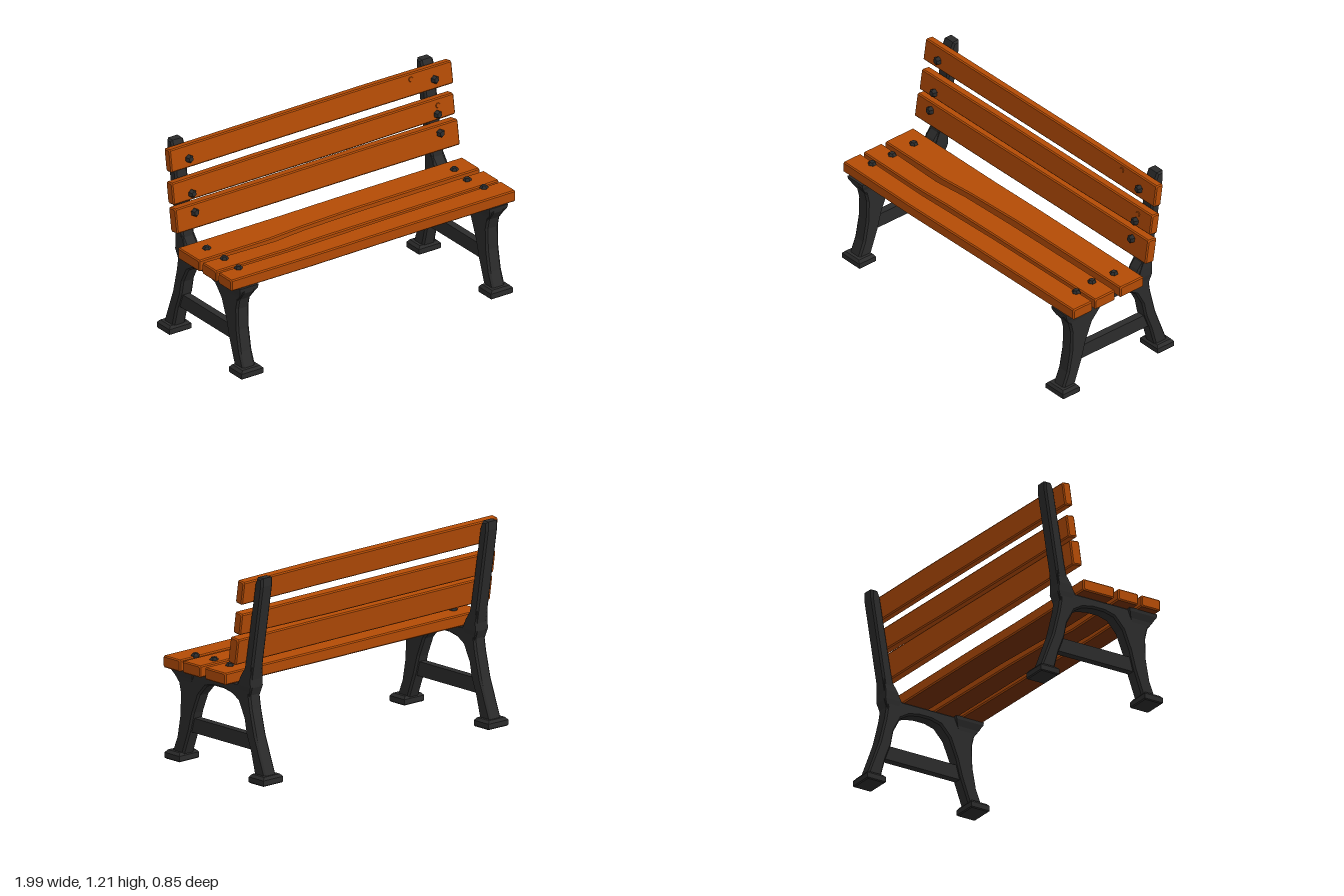
import * as THREE from 'three';

function material(name, color) {
  const m = new THREE.MeshStandardMaterial({ color, flatShading: true });
  m.name = name;
  return m;
}
const wood = material('wood', 0xb34b05);
const darkWood = material('darkWood', 0x722f04);
const iron = material('iron', 0x2b2b2b);

function add(parent, name, geometry, mat, x = 0, y = 0, z = 0) {
  const mesh = new THREE.Mesh(geometry, mat);
  mesh.name = name;
  mesh.position.set(x, y, z);
  parent.add(mesh);
  return mesh;
}

// Skin a row of equal-sized point rings and close both ends
function loft(rings) {
  const pos = [];
  const tri = (...pts) => pts.forEach((p) => pos.push(...p));
  const n = rings[0].length;
  for (let i = 0; i < rings.length - 1; i++) {
    for (let j = 0; j < n; j++) {
      const k = (j + 1) % n;
      const a = rings[i][j], b = rings[i][k], c = rings[i + 1][k], d = rings[i + 1][j];
      tri(a, b, c);
      tri(a, c, d);
    }
  }
  const first = rings[0], last = rings[rings.length - 1];
  for (let j = 1; j < n - 1; j++) {
    tri(first[0], first[j + 1], first[j]);
    tri(last[0], last[j], last[j + 1]);
  }
  const g = new THREE.BufferGeometry();
  g.setAttribute('position', new THREE.Float32BufferAttribute(pos, 3));
  g.computeVertexNormals();
  return g;
}

// Chamfered board along x; stations are [x, edge z low, edge z high], thickness is in y
function plank(stations, thick) {
  const ring = (x, lo, hi, inset) => {
    const b = 0.007, h = thick / 2 - inset;
    lo += inset;
    hi -= inset;
    return [
      [x, -h + b, hi], [x, -h, hi - b], [x, -h, lo + b], [x, -h + b, lo],
      [x, h - b, lo], [x, h, lo + b], [x, h, hi - b], [x, h - b, hi],
    ];
  };
  const rings = stations.map(([x, lo, hi]) => ring(x, lo, hi, 0));
  const [x0, l0, h0] = stations[0];
  const [x1, l1, h1] = stations[stations.length - 1];
  rings.unshift(ring(x0 - 0.007, l0, h0, 0.007));
  rings.push(ring(x1 + 0.007, l1, h1, 0.007));
  return loft(rings);
}

// Give downward faces the second material
function splitUnderside(g) {
  const normal = g.attributes.normal;
  for (let v = 0; v < normal.count; v += 3) g.addGroup(v, 3, normal.getY(v) < -0.9 ? 1 : 0);
  return g;
}

// Stack of rectangles along y; levels are [y, width x, z back, z front]
function block(levels) {
  return loft(levels.map(([y, w, z0, z1]) => [
    [-w / 2, y, z0], [-w / 2, y, z1], [w / 2, y, z1], [w / 2, y, z0],
  ]));
}

// Cast side frame outline as [z, y]: front leg, seat rail, back post, back leg, arch
const OUTLINE = [
  [0.392, 0.03], [0.35, 0.14], [0.326, 0.27], [0.322, 0.4], [0.337, 0.465], [0.378, 0.52], [0.383, 0.556],
  [-0.155, 0.556], [-0.18, 0.605], [-0.21, 0.64], [-0.228, 0.72], [-0.306, 1.175], [-0.322, 1.21], [-0.366, 1.21],
  [-0.366, 1.16], [-0.272, 0.59], [-0.274, 0.545], [-0.26, 0.5], [-0.273, 0.42], [-0.31, 0.27], [-0.398, 0.03],
  [-0.305, 0.03], [-0.268, 0.17], [-0.23, 0.27], [-0.212, 0.36], [-0.165, 0.45], [-0.11, 0.483], [-0.04, 0.497],
  [0.04, 0.497], [0.105, 0.48], [0.165, 0.415], [0.212, 0.3], [0.242, 0.19], [0.3, 0.03],
];

function sideFrame() {
  const frame = new THREE.Group();
  const shape = new THREE.Shape(OUTLINE.map(([z, y]) => new THREE.Vector2(z, y)));
  const g = new THREE.ExtrudeGeometry(shape, {
    depth: 0.064, bevelEnabled: true, bevelThickness: 0.012, bevelSize: 0.01, bevelOffset: -0.01, bevelSegments: 1,
  });
  g.translate(0, 0, -0.032).rotateY(-Math.PI / 2);
  add(frame, 'legsAndPost', g, iron);

  // Flared head of the front leg and slight swelling behind the seat
  add(frame, 'frontLegHead', block([
    [0.45, 0.08, 0.24, 0.322], [0.5, 0.095, 0.215, 0.358], [0.535, 0.126, 0.2, 0.38], [0.556, 0.13, 0.195, 0.383],
  ]), iron);
  add(frame, 'postKnuckle', block([
    [0.49, 0.08, -0.255, -0.19], [0.55, 0.096, -0.274, -0.17], [0.6, 0.096, -0.272, -0.19], [0.67, 0.08, -0.28, -0.23],
  ]), iron);
  add(frame, 'crossBar', new THREE.BoxGeometry(0.045, 0.086, 0.53), iron, 0, 0.222, -0.008);

  // Feet
  for (const s of [1, -1]) {
    add(frame, s > 0 ? 'frontFoot' : 'backFoot', block([
      [0, 0.142, -0.056, 0.056], [0.006, 0.152, -0.062, 0.062], [0.036, 0.152, -0.062, 0.062], [0.052, 0.122, -0.05, 0.05],
    ]), iron, 0, 0, s * 0.353);
  }
  return frame;
}

// Hexagonal bolt head with a tapered top, pointing up y
const boltShape = new THREE.LatheGeometry(
  [[0, -0.012], [0.025, -0.012], [0.025, 0.008], [0.016, 0.02], [0, 0.02]].map(([r, y]) => new THREE.Vector2(r, y)), 6);

export function createModel() {
  const bench = new THREE.Group();
  bench.name = 'bench';

  // Two side frames, set slightly out of line
  for (const s of [1, -1]) {
    const frame = sideFrame();
    frame.name = s > 0 ? 'leftFrame' : 'rightFrame';
    frame.position.set(s > 0 ? 0.872 : -0.88, 0, s > 0 ? -0.012 : 0.008);
    bench.add(frame);
  }

  // Seat boards with wavering edges, and a bolt near each end [x, z]
  const seat = [
    { edges: [[-0.99, 0.25, 0.38], [-0.45, 0.255, 0.381], [0.15, 0.235, 0.372], [0.988, 0.222, 0.366]],
      bolts: [[-0.87, 0.27], [0.865, 0.235]] },
    { edges: [[-0.99, 0.092, 0.23], [-0.5, 0.102, 0.23], [-0.28, 0.078, 0.218], [0.1, 0.065, 0.212], [0.988, 0.052, 0.204]],
      bolts: [[-0.865, 0.125], [0.845, 0.1]] },
    { edges: [[-0.99, -0.146, 0.066], [-0.5, -0.147, 0.062], [-0.28, -0.148, 0.042], [0.1, -0.155, 0.024], [0.988, -0.16, 0.016]],
      bolts: [[-0.87, -0.04], [0.862, -0.05]] },
  ];
  for (const { edges, bolts } of seat) {
    add(bench, 'seatBoard', splitUnderside(plank(edges, 0.07)), [wood, darkWood], 0, 0.588, 0);
    for (const [x, z] of bolts) add(bench, 'seatBolt', boltShape, iron, x, 0.62, z);
  }

  // Leaning back boards; edges, bolts and knots are measured down from each board's centre
  const back = [
    { y: 1.128, z: -0.262, thick: 0.054, bolt: 0.014, knot: [0.7, -0.03],
      edges: [[-0.985, -0.07, 0.068], [-0.2, -0.07, 0.069], [0.4, -0.07, 0.07], [0.985, -0.064, 0.074]] },
    { y: 0.933, z: -0.237, thick: 0.058, bolt: 0.028, knot: [0.87, -0.022],
      edges: [[-0.988, -0.066, 0.066], [-0.4, -0.069, 0.068], [0.3, -0.067, 0.069], [0.98, -0.066, 0.062]] },
    { y: 0.771, z: -0.206, thick: 0.066, bolt: -0.026, knot: null,
      edges: [[-0.988, -0.077, 0.072], [-0.3, -0.076, 0.076], [0.3, -0.077, 0.077], [0.985, -0.074, 0.081]] },
  ];
  for (const { y, z, thick, bolt, knot, edges } of back) {
    const board = new THREE.Group();
    board.name = 'backBoardWithBolts';
    board.position.set(0, y, z);
    board.rotation.set(Math.PI / 2 - 0.15, 0.013, 0, 'YXZ');
    add(board, 'backBoard', plank(edges, thick), wood);
    for (const x of [-0.866, 0.86]) add(board, 'backBolt', boltShape, iron, x, thick / 2 + 0.006, bolt);
    if (knot) {
      add(board, 'woodKnot', new THREE.CylinderGeometry(0.014, 0.018, 0.006, 7), wood, knot[0], thick / 2 + 0.001, knot[1]);
    }
    bench.add(board);
  }
  return bench;
}
